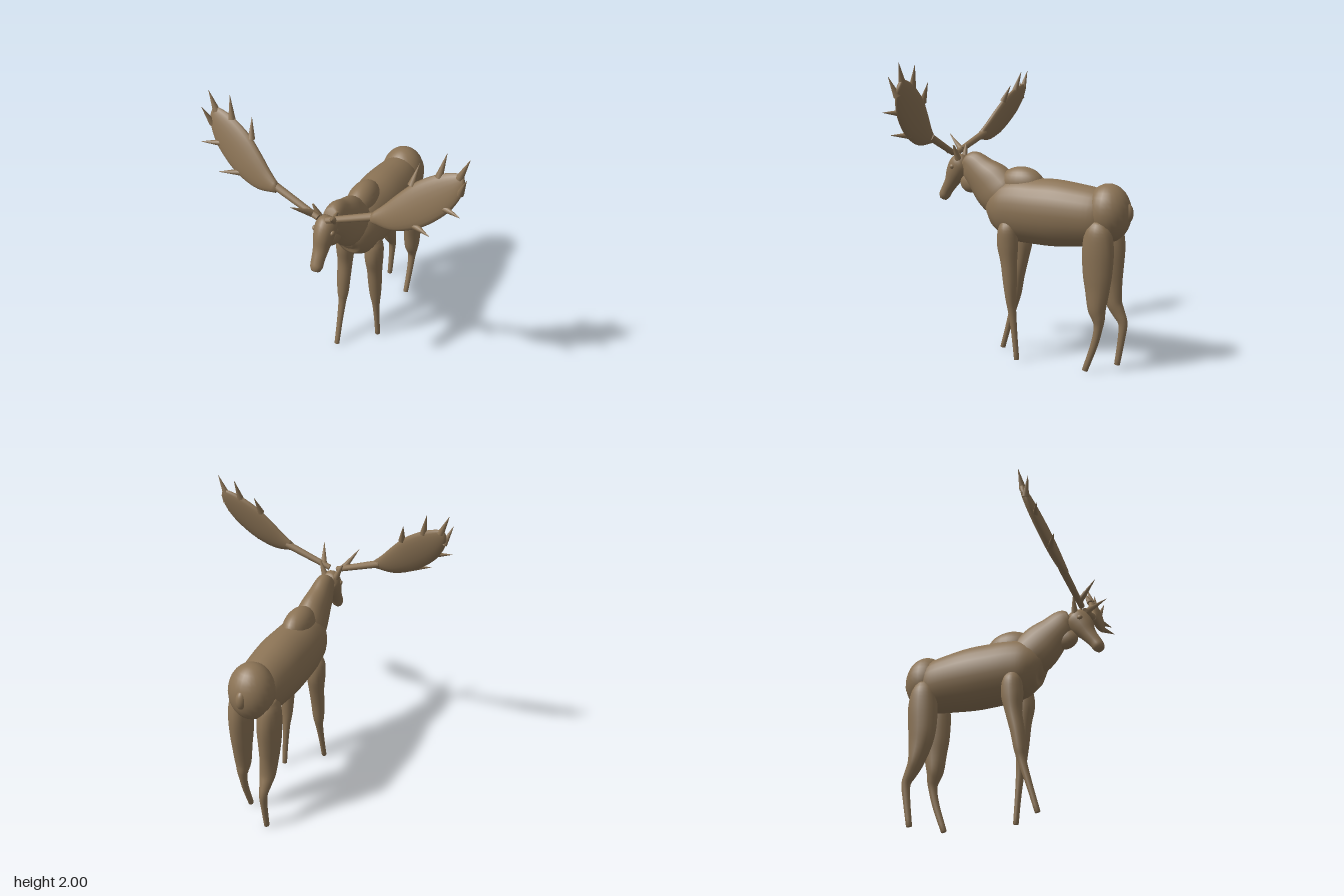
import * as THREE from 'three';

const hide = new THREE.MeshStandardMaterial({ color: 0x8b7355 });
hide.name = 'brown hide';
const V = (x, y, z) => new THREE.Vector3(x, y, z);

function mesh(name, geometry, parent) {
  const m = new THREE.Mesh(geometry, hide);
  m.name = name;
  parent.add(m);
  return m;
}

// Smooth closed skin through elliptical rings { c: centre, u: half width vector, b: other radius }
function loft(rings, sides = 20, steps = 4) {
  const curve = (f) => new THREE.CatmullRomCurve3(rings.map(f), false, 'catmullrom', 0.5);
  const cs = curve((r) => r.c), us = curve((r) => r.u), bs = curve((r) => V(r.b, 0, 0));
  const n = (rings.length - 1) * steps;
  const pos = [], idx = [];
  for (let i = 0; i <= n; i++) {
    const k = i / n, c = cs.getPoint(k), u = us.getPoint(k);
    const v = cs.getTangent(k).cross(u).normalize().multiplyScalar(bs.getPoint(k).x);
    for (let j = 0; j < sides; j++) {
      const a = (j / sides) * Math.PI * 2;
      const p = c.clone().addScaledVector(u, Math.cos(a)).addScaledVector(v, Math.sin(a));
      pos.push(p.x, p.y, p.z);
      const j2 = (j + 1) % sides, o = i * sides;
      if (i < n) idx.push(o + j, o + j2, o + sides + j, o + j2, o + sides + j2, o + sides + j);
    }
  }
  // End caps
  const first = rings[0].c, last = rings[rings.length - 1].c, pole = (n + 1) * sides;
  pos.push(first.x, first.y, first.z, last.x, last.y, last.z);
  for (let j = 0; j < sides; j++) {
    const j2 = (j + 1) % sides;
    idx.push(pole, j2, j, pole + 1, n * sides + j, n * sides + j2);
  }
  const g = new THREE.BufferGeometry();
  g.setAttribute('position', new THREE.Float32BufferAttribute(pos, 3));
  g.setIndex(idx);
  g.computeVertexNormals();
  return g;
}

// Rows of [y, z, half width, other radius] at a fixed x
const limb = (x, rows, sides) =>
  loft(rows.map(([y, z, rx, b]) => ({ c: V(x, y, z), u: V(rx, 0, 0), b })), sides);

function ellipsoid(name, parent, c, r) {
  const g = new THREE.SphereGeometry(1, 24, 16).scale(...r).translate(...c);
  return mesh(name, g, parent);
}

// Tapered rod between two points
function rod(name, parent, a, b, r0, r1, sides = 10) {
  const d = b.clone().sub(a);
  const g = new THREE.CylinderGeometry(r1, r0, d.length(), sides);
  g.applyQuaternion(new THREE.Quaternion().setFromUnitVectors(V(0, 1, 0), d.clone().normalize()));
  const mid = a.clone().add(b).multiplyScalar(0.5);
  return mesh(name, g.translate(mid.x, mid.y, mid.z), parent);
}

function addBody(root) {
  mesh('torso', limb(0, [
    [1.0, 0.315, 0.04, 0.05], [1.01, 0.29, 0.095, 0.125], [1.025, 0.21, 0.145, 0.19],
    [1.03, 0.1, 0.165, 0.22], [1.025, -0.05, 0.177, 0.226], [1.022, -0.2, 0.18, 0.227],
    [1.017, -0.35, 0.172, 0.212], [1.01, -0.5, 0.152, 0.19], [1.01, -0.58, 0.11, 0.15],
  ], 24), root);
  ellipsoid('shoulderHump', root, [0, 1.2, 0.07], [0.095, 0.125, 0.17]);
  ellipsoid('rump', root, [0, 1.045, -0.565], [0.152, 0.193, 0.152]);
  ellipsoid('tail', root, [0, 1.05, -0.695], [0.035, 0.065, 0.04]);
  mesh('neck', limb(0, [
    [1.09, 0.16, 0.11, 0.15], [1.13, 0.23, 0.115, 0.165], [1.2, 0.31, 0.1, 0.16],
    [1.265, 0.39, 0.083, 0.13], [1.325, 0.46, 0.066, 0.105], [1.35, 0.51, 0.05, 0.06],
  ]), root);
  ellipsoid('dewlap', root, [0, 1.2, 0.465], [0.048, 0.075, 0.09]);
}

function addHead(root) {
  mesh('head', limb(0, [
    [1.365, 0.51, 0.035, 0.03], [1.335, 0.545, 0.066, 0.078], [1.27, 0.59, 0.063, 0.078],
    [1.2, 0.63, 0.05, 0.053], [1.14, 0.67, 0.042, 0.043], [1.1, 0.692, 0.04, 0.04],
    [1.075, 0.705, 0.027, 0.027],
  ]), root);
  for (const s of [1, -1]) {
    ellipsoid('eye', root, [s * 0.062, 1.31, 0.59], [0.014, 0.017, 0.019]);
    rod('ear', root, V(s * 0.04, 1.36, 0.55), V(s * 0.085, 1.46, 0.56), 0.025, 0.006);
  }
}

function addLegs(root) {
  // Front and hind legs are in mid-stride, so the two sides differ below the upper leg
  const frontTop = [[0.96, 0.13, 0.035, 0.045], [0.9, 0.122, 0.062, 0.068], [0.8, 0.122, 0.062, 0.075]];
  mesh('leftFrontLeg', limb(0.11, [...frontTop,
    [0.68, 0.113, 0.053, 0.058], [0.54, 0.105, 0.048, 0.048], [0.42, 0.098, 0.04, 0.036],
    [0.33, 0.088, 0.028, 0.028], [0.18, 0.072, 0.021, 0.021], [0, 0.055, 0.018, 0.018],
  ], 16), root);
  mesh('rightFrontLeg', limb(-0.11, [...frontTop,
    [0.68, 0.132, 0.053, 0.056], [0.54, 0.158, 0.048, 0.047], [0.42, 0.173, 0.04, 0.04],
    [0.34, 0.187, 0.028, 0.029], [0.18, 0.232, 0.021, 0.021], [0, 0.283, 0.018, 0.018],
  ], 16), root);
  const hindTop = [[1.0, -0.54, 0.04, 0.055], [0.93, -0.537, 0.07, 0.09], [0.81, -0.537, 0.075, 0.107],
    [0.66, -0.535, 0.068, 0.1]];
  mesh('leftHindLeg', limb(0.105, [...hindTop,
    [0.55, -0.535, 0.06, 0.083], [0.43, -0.533, 0.054, 0.062], [0.36, -0.545, 0.04, 0.044],
    [0.3, -0.545, 0.028, 0.03], [0.18, -0.517, 0.022, 0.025], [0, -0.453, 0.018, 0.02],
  ], 16), root);
  mesh('rightHindLeg', limb(-0.105, [...hindTop,
    [0.55, -0.545, 0.06, 0.083], [0.43, -0.572, 0.054, 0.055], [0.36, -0.605, 0.04, 0.044],
    [0.29, -0.637, 0.028, 0.032], [0.18, -0.628, 0.022, 0.025], [0, -0.6, 0.018, 0.02],
  ], 16), root);
}

function addAntler(root, s) {
  const antler = new THREE.Group();
  antler.name = s > 0 ? 'leftAntler' : 'rightAntler';
  root.add(antler);
  const depth = (y) => 0.595 - 0.31 * (y - 1.47);
  rod('beam', antler, V(s * 0.03, 1.405, 0.6), V(s * 0.36, 1.53, 0.57), 0.02, 0.026, 12);

  // Palm: upper edge x, y and lower edge x, y, then half thickness
  const rows = [
    [0.32, 1.545, 0.325, 1.485, 0.022], [0.385, 1.61, 0.45, 1.475, 0.03],
    [0.46, 1.695, 0.565, 1.51, 0.036], [0.55, 1.785, 0.665, 1.57, 0.036],
    [0.67, 1.86, 0.76, 1.66, 0.032], [0.765, 1.892, 0.815, 1.75, 0.024],
    [0.815, 1.892, 0.835, 1.83, 0.012],
  ];
  mesh('palm', loft(rows.map(([ux, uy, lx, ly, b]) => {
    const up = V(s * ux, uy, depth(uy)), low = V(s * lx, ly, depth(ly));
    return { c: up.clone().add(low).multiplyScalar(0.5), u: up.sub(low).multiplyScalar(0.5), b };
  })), antler);

  // Tines: base x, y and tip x, y, z
  const tines = [
    [0.53, 1.76, 0.552, 1.88, 0.45], [0.68, 1.845, 0.705, 1.985, 0.44],
    [0.795, 1.87, 0.845, 1.995, 0.46], [0.815, 1.79, 0.858, 1.91, 0.53],
    [0.735, 1.69, 0.855, 1.695, 0.58], [0.585, 1.545, 0.705, 1.55, 0.635],
  ];
  for (const [x, y, tx, ty, tz] of tines) {
    rod('tine', antler, V(s * x, y, depth(y)), V(s * tx, ty, tz), 0.023, 0.001);
  }
  rod('browTine', antler, V(s * 0.075, 1.42, 0.595), V(s * 0.138, 1.53, 0.73), 0.024, 0.001);
}

export function createModel() {
  const root = new THREE.Group();
  root.name = 'antleredAnimal';
  addBody(root);
  addHead(root);
  addLegs(root);
  for (const s of [1, -1]) addAntler(root, s);
  return root;
}
